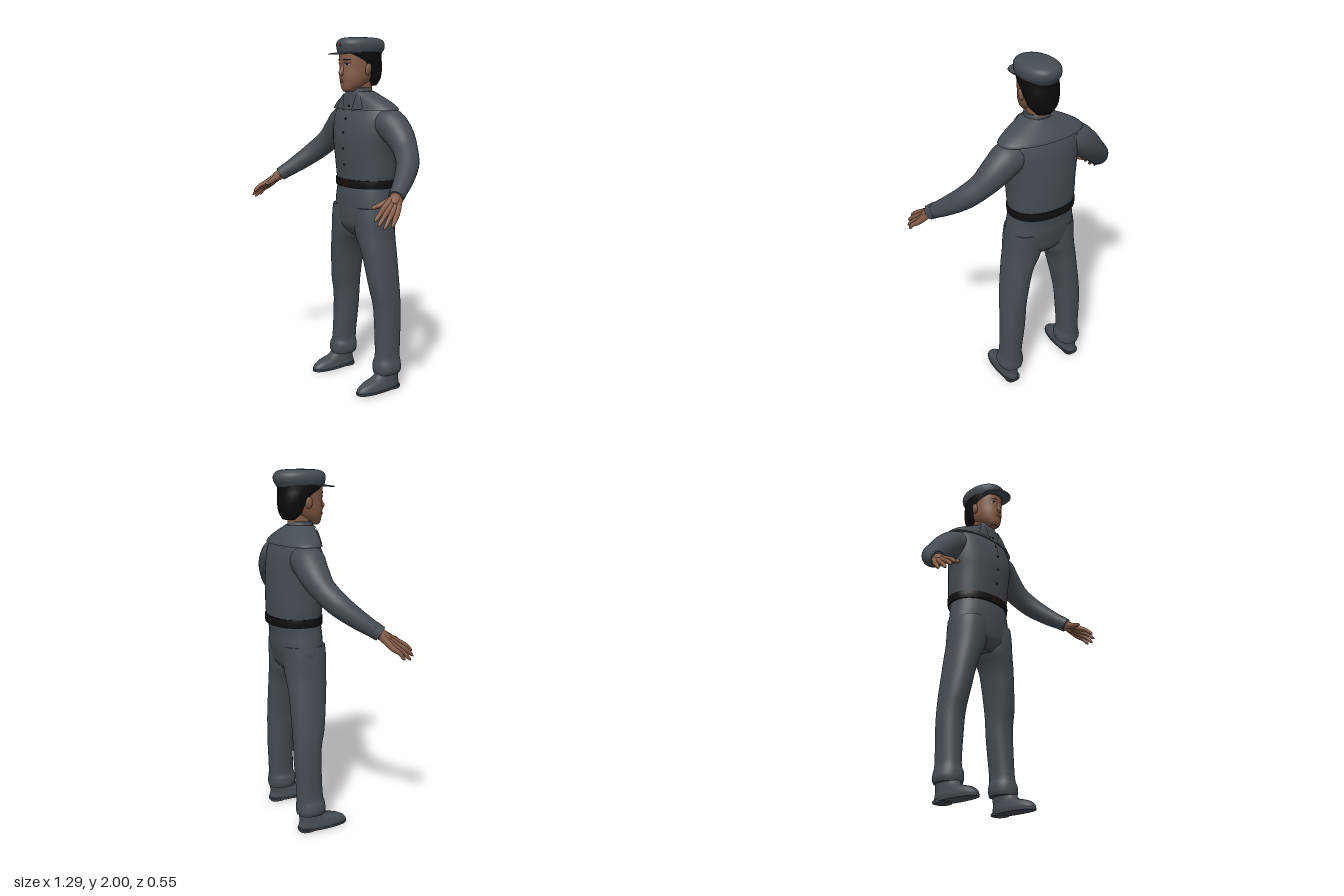
import * as THREE from 'three';

const mat = (name, color, side = THREE.FrontSide) => {
  const m = new THREE.MeshStandardMaterial({ color, side });
  m.name = name;
  return m;
};

// Closed smooth skin through rings of equal length, with flat caps
function skin(rings) {
  const n = rings[0].length, pos = [], idx = [];
  rings.forEach(r => r.forEach(p => pos.push(p.x, p.y, p.z)));
  for (let i = 0; i < rings.length - 1; i++) for (let j = 0; j < n; j++) {
    const a = i * n + j, b = i * n + (j + 1) % n;
    idx.push(a, b, b + n, a, b + n, a + n);
  }
  [rings[0], rings[rings.length - 1]].forEach((r, end) => {
    const base = pos.length / 3, c = new THREE.Vector3();
    r.forEach(p => { c.addScaledVector(p, 1 / n); pos.push(p.x, p.y, p.z); });
    pos.push(c.x, c.y, c.z);
    for (let j = 0; j < n; j++) {
      const a = base + j, b = base + (j + 1) % n;
      end ? idx.push(a, b, base + n) : idx.push(b, a, base + n);
    }
  });
  const g = new THREE.BufferGeometry();
  g.setAttribute('position', new THREE.Float32BufferAttribute(pos, 3));
  g.setIndex(idx);
  g.computeVertexNormals();
  return g;
}

// Smoothly subdivides rows of numbers
function refine(rows, k = 4) {
  const out = [], at = i => rows[Math.min(Math.max(i, 0), rows.length - 1)];
  for (let i = 0; i < rows.length - 1; i++) for (let s = 0; s < k; s++) {
    const t = s / k;
    out.push(rows[i].map((_, c) => {
      const p = at(i - 1)[c], q = at(i)[c], r = at(i + 1)[c], u = at(i + 2)[c];
      return q + 0.5 * t * (r - p + t * (2 * p - 5 * q + 4 * r - u + t * (3 * (q - r) + u - p)));
    }));
  }
  out.push(rows[rows.length - 1]);
  return out;
}

// Upright loft; each section is [y, centreX, centreZ, radiusX, radiusZ]
const power = (v, e) => Math.sign(v) * Math.abs(v) ** (2 / e);
function loft(sections, e = 2, n = 40) {
  return skin(refine(sections).map(([y, cx, cz, rx, rz]) => Array.from({ length: n }, (_, j) => {
    const a = j / n * Math.PI * 2;
    return new THREE.Vector3(cx + rx * power(Math.sin(a), e), y, cz + rz * power(Math.cos(a), e));
  })));
}

// Front surface of a loft at (x, y)
function frontZ(sections, x, y, e) {
  const rows = refine(sections);
  let i = 0;
  while (i < rows.length - 2 && rows[i + 1][0] < y) i++;
  const t = THREE.MathUtils.clamp((y - rows[i][0]) / (rows[i + 1][0] - rows[i][0]), 0, 1);
  const [, , cz, rx, rz] = rows[i].map((v, c) => THREE.MathUtils.lerp(v, rows[i + 1][c], t));
  return cz + rz * Math.max(0, 1 - Math.abs(x / rx) ** e) ** (1 / e);
}

// Thin four-cornered patch laid over a surface z(x, y)
function patch(corners, z, off = 0.004, k = 8) {
  const g = new THREE.PlaneGeometry(1, 1, k, k), p = g.attributes.position;
  const [a, b, c, d] = corners;
  for (let i = 0; i < p.count; i++) {
    const u = p.getX(i) + 0.5, v = p.getY(i) + 0.5;
    const mix = q => (1 - v) * ((1 - u) * a[q] + u * b[q]) + v * ((1 - u) * d[q] + u * c[q]);
    p.setXYZ(i, mix(0), mix(1), z(mix(0), mix(1)) + off);
  }
  g.computeVertexNormals();
  return g;
}
const rect = (x, y, w, h) => [[x - w, y - h], [x + w, y - h], [x + w, y + h], [x - w, y + h]];

// Tapered limb along a curve, optionally with a rounded tip
function limb(points, radii, round = false, rows = 20, n = 16) {
  const curve = new THREE.CatmullRomCurve3(points.map(p => new THREE.Vector3(...p)));
  const f = curve.computeFrenetFrames(rows, false), m = radii.length - 1, rings = [];
  for (let i = 0; i <= rows; i++) {
    const t = i / rows, k = Math.min(Math.floor(t * m), m - 1), c = curve.getPoint(t);
    let r = THREE.MathUtils.lerp(radii[k], radii[k + 1], t * m - k);
    if (round && t > 0.85) r *= Math.sqrt(Math.max(0.02, 1 - ((t - 0.85) / 0.15) ** 2));
    rings.push(Array.from({ length: n }, (_, j) => {
      const a = j / n * Math.PI * 2;
      return c.clone().addScaledVector(f.normals[i], r * Math.cos(a)).addScaledVector(f.binormals[i], r * Math.sin(a));
    }));
  }
  return skin(rings);
}

const TORSO = [[1.17, 0, -.13, .185, .138], [1.24, 0, -.13, .195, .143], [1.35, 0, -.125, .2, .15],
  [1.45, 0, -.12, .213, .15], [1.55, 0, -.122, .222, .134], [1.62, 0, -.125, .21, .105], [1.67, 0, -.107, .14, .084], [1.7, 0, -.09, .08, .07]];
const YOKE = [[1.605, 0, -.125, .25, .119], [1.62, 0, -.125, .242, .113], [1.65, 0, -.115, .198, .1], [1.685, 0, -.1, .125, .082], [1.705, 0, -.092, .08, .072]];
const HEAD = [[1.705, 0, -.005, .026, .025], [1.72, 0, -.018, .045, .048], [1.75, 0, -.042, .067, .077],
  [1.79, 0, -.065, .08, .105], [1.83, 0, -.076, .085, .113], [1.88, 0, -.08, .088, .12], [1.93, 0, -.08, .088, .12]];

export function createModel() {
  const model = new THREE.Group();
  model.name = 'uniformedMan';
  const cloth = mat('slate cloth', 0x454c52, THREE.DoubleSide), skinMat = mat('skin', 0x835c46), hairMat = mat('black hair', 0x0d0b0b, THREE.DoubleSide);
  const leather = mat('black leather', 0x101011), copper = mat('copper', 0x7a4026), lipMat = mat('lips', 0x63392e, THREE.DoubleSide);
  const eyeMat = mat('eye white', 0x9c938c, THREE.DoubleSide);
  const add = (name, g, m) => {
    const mesh = new THREE.Mesh(g, m);
    mesh.name = name;
    model.add(mesh);
    return mesh;
  };
  const shirtZ = (x, y) => Math.max(frontZ(TORSO, x, y, 2.2), y > 1.605 ? frontZ(YOKE, x, y, 2.2) : -1);
  const faceZ = (x, y) => frontZ(HEAD, x, y, 2.1);

  // Jacket
  add('jacket', loft(TORSO, 2.2), cloth);
  add('shoulderYoke', loft(YOKE, 2.2), cloth);
  add('standingCollar', loft([[1.63, 0, -.095, .085, .085], [1.68, 0, -.092, .076, .076], [1.725, 0, -.085, .068, .066]]), cloth);
  add('placket', patch(rect(0, 1.41, .014, .19), shirtZ, .004, 20), cloth);
  for (const y of [1.3, 1.39, 1.48, 1.555, 1.625]) {
    const b = add('button', new THREE.CylinderGeometry(.006, .006, .005, 12).rotateX(Math.PI / 2), leather);
    b.position.set(0, y, shirtZ(0, y) + .006);
  }

  // Belt and buckle
  add('belt', loft([[1.17, 0, -.13, .194, .146], [1.193, 0, -.13, .197, .148], [1.216, 0, -.13, .196, .147]], 2.2), leather);
  const buckle = add('buckle', new THREE.TorusGeometry(.026, .004, 6, 4).rotateZ(Math.PI / 4), copper);
  buckle.position.set(0, 1.194, .02);

  // Trousers seat
  add('trouserSeat', loft([[.89, 0, -.11, .07, .07], [.94, 0, -.112, .17, .112], [1, 0, -.115, .207, .125], [1.06, 0, -.119, .203, .132],
    [1.12, 0, -.12, .193, .133], [1.18, 0, -.128, .184, .135]], 2.2), cloth);

  for (const s of [1, -1]) {
    const side = s > 0 ? 'left' : 'right', mx = pts => pts.map(([x, y, z]) => [x * s, y, z]);
    const at = rows => rows.map(([y, cx, ...r]) => [y, cx * s, ...r]);

    // Leg with gathered hem
    add(side + 'TrouserLeg', loft(at([[.1, .212, -.125, .068, .08], [.125, .213, -.125, .077, .084], [.16, .211, -.125, .074, .081], [.21, .21, -.13, .062, .075],
      [.4, .199, -.137, .071, .077], [.5, .193, -.135, .073, .081], [.6, .183, -.125, .074, .093], [.8, .148, -.114, .083, .107],
      [.9, .115, -.111, .102, .116], [1, .105, -.112, .104, .12], [1.06, .1, -.115, .1, .12]]), 2.2), cloth);

    // Shoe, sole and heel
    add(side + 'Shoe', loft(at([[.012, .22, -.055, .05, .143], [.03, .22, -.055, .053, .146], [.058, .22, -.07, .049, .125],
      [.085, .219, -.112, .045, .085], [.14, .216, -.13, .046, .068]]), 2.3), cloth);
    add(side + 'Sole', loft(at([[.006, .22, -.055, .053, .149], [.018, .22, -.055, .055, .15]]), 2.4), cloth);
    add(side + 'Heel', loft(at([[0, .22, -.155, .045, .046], [.012, .22, -.155, .047, .048]]), 2.6), cloth);

    // Sleeve and cuff
    add(side + 'Sleeve', limb(mx([[.14, 1.545, -.13], [.21, 1.525, -.135], [.285, 1.47, -.135], [.36, 1.4, -.115], [.43, 1.335, -.07], [.495, 1.26, .015], [.548, 1.195, .105]]),
      [.085, .092, .082, .067, .062, .051, .039], false, 32, 28), cloth);
    add(side + 'Cuff', limb(mx([[.532, 1.215, .078], [.55, 1.192, .109]]), [.044, .041], false, 4, 24), cloth);

    // Hand: fingers fan out from the wrist
    add(side + 'Wrist', limb(mx([[.535, 1.21, .085], [.556, 1.185, .118], [.575, 1.155, .15]]), [.032, .03, .024], true), skinMat);
    const tips = [[.588, 1.092, .276], [.61, 1.07, .272], [.626, 1.055, .247], [.637, 1.062, .206]];
    tips.forEach((tip, i) => {
      const k = i / 3, knuckle = [.566 + .044 * k, 1.148 - .026 * k, .2 - .048 * k];
      const wrist = [.55 + .016 * k, 1.192 - .008 * k, .122 - .018 * k];
      const mid = knuckle.map((v, c) => (v + tip[c]) / 2 + [.006, .006, .002][c]);
      add(side + 'Finger', limb(mx([wrist, knuckle, mid, tip]), [.021, .0155, .0115, .009], true, 20, 12), skinMat);
    });
    add(side + 'Thumb', limb(mx([[.548, 1.188, .115], [.535, 1.168, .165], [.522, 1.155, .2], [.514, 1.145, .236]]), [.021, .018, .013, .01], true, 20, 12), skinMat);

    // Collar wing
    add(side + 'CollarWing', patch(mx([[.03, 1.6], [.12, 1.612], [.078, 1.705], [.062, 1.702]]), shirtZ, .009, 10), cloth);

    // Eye, brow and ear
    add(side + 'EyeWhite', patch(rect(.036 * s, 1.853, .014, .005), faceZ, .002), eyeMat);
    add(side + 'Iris', patch(rect(.036 * s, 1.853, .006, .005), faceZ, .004), hairMat);
    add(side + 'Lash', patch(rect(.036 * s, 1.859, .017, .002), faceZ, .005), hairMat);
    add(side + 'Brow', patch(mx([[.015, 1.871], [.058, 1.874], [.056, 1.881], [.015, 1.88]]), faceZ, .004), hairMat);
    const ear = add(side + 'Ear', new THREE.SphereGeometry(1, 16, 12).scale(.012, .033, .02), skinMat);
    ear.position.set(.09 * s, 1.825, -.075);
    ear.rotation.z = -.15 * s;
  }

  // Head
  add('neck', loft([[1.66, 0, -.095, .055, .058], [1.78, 0, -.09, .058, .07]]), skinMat);
  add('head', loft(HEAD, 2.1), skinMat);
  add('nose', limb([[0, 1.862, .03], [0, 1.83, .037], [0, 1.802, .046], [0, 1.793, .034]], [.007, .01, .0145, .01], true), skinMat);
  add('upperLip', patch([[-.025, 1.765], [.025, 1.765], [.009, 1.774], [-.009, 1.774]], faceZ, .004), lipMat);
  add('lowerLip', patch([[-.012, 1.754], [.012, 1.754], [.024, 1.763], [-.024, 1.763]], faceZ, .005), lipMat);
  add('hair', loft([[1.735, 0, -.152, .045, .032], [1.77, 0, -.143, .076, .06], [1.82, 0, -.13, .092, .081],
    [1.86, 0, -.114, .098, .097], [1.89, 0, -.095, .099, .115], [1.925, 0, -.085, .098, .13]], 2.2), hairMat);

  // Cap with visor and badge
  add('cap', loft([[1.908, 0, -.085, .094, .132], [1.922, 0, -.087, .099, .138], [1.94, 0, -.09, .105, .145], [1.965, 0, -.09, .106, .146],
    [1.985, 0, -.09, .094, .132], [1.996, 0, -.09, .068, .1], [2, 0, -.09, .02, .03]], 2.1), cloth);
  const visor = loft([[1.918, 0, .005, .09, .104], [1.924, 0, .005, .09, .104]], 2.2);
  const p = visor.attributes.position;
  for (let i = 0; i < p.count; i++) p.setY(i, p.getY(i) - .2 * Math.max(0, p.getZ(i) - .035) - 1.2 * p.getX(i) ** 2);
  visor.computeVertexNormals();
  add('visor', visor, cloth);
  const badge = add('capBadge', new THREE.CylinderGeometry(.01, .01, .006, 5).rotateX(Math.PI / 2), copper);
  badge.position.set(0, 1.958, .056);
  return model;
}
